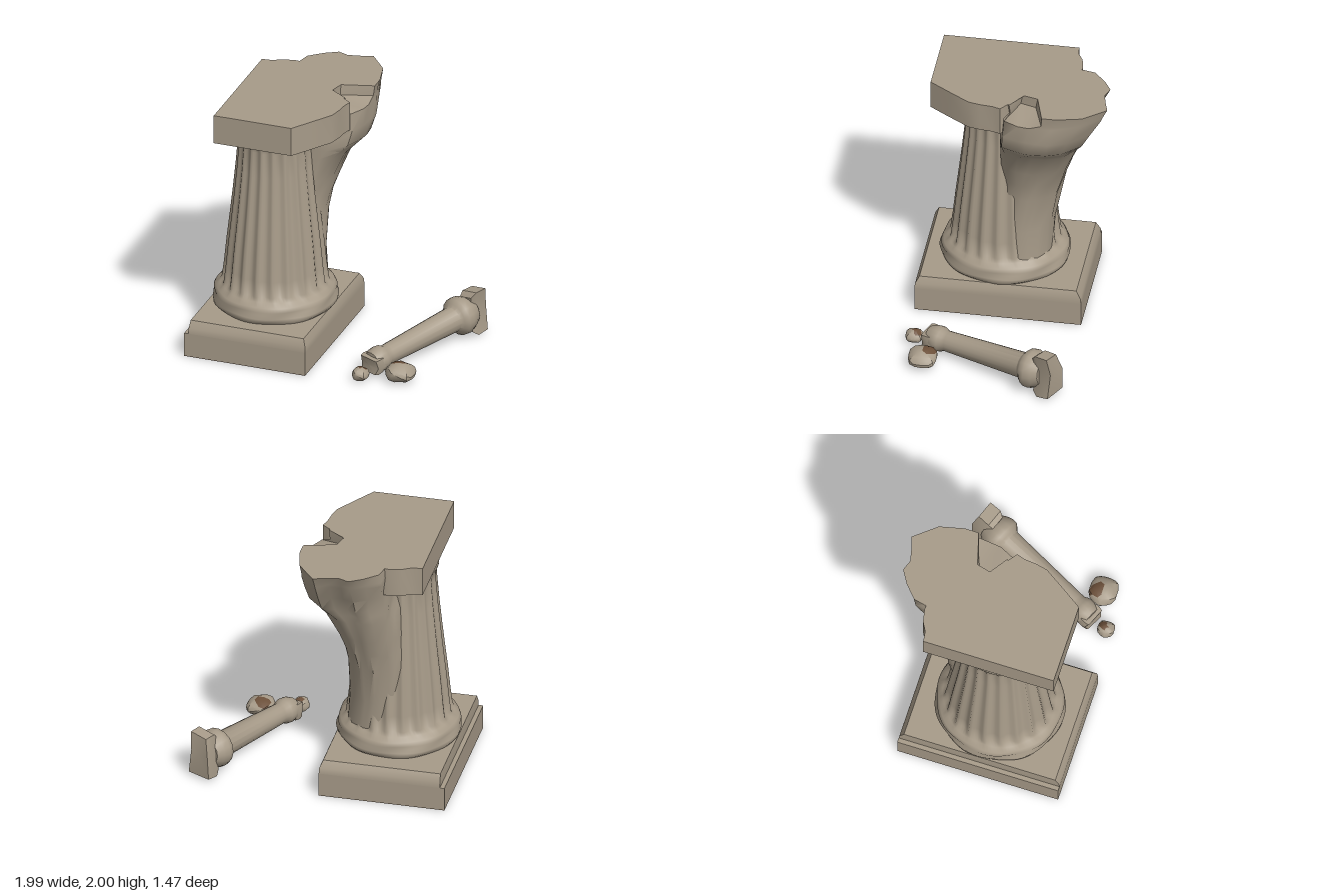
import * as THREE from 'three';
import { toCreasedNormals } from 'three/addons/utils/BufferGeometryUtils.js';

const stone = new THREE.MeshStandardMaterial({ color: 0xa79b89 });
stone.name = 'weathered stone';
const earth = new THREE.MeshStandardMaterial({ color: 0x6c503a });
earth.name = 'brown earth';

function add(parent, name, geometry, material = stone) {
  const mesh = new THREE.Mesh(geometry, material);
  mesh.name = name;
  parent.add(mesh);
  return mesh;
}

// Skin stacked rings of [x, y, z], counter-clockwise from above, with fan caps
function loft(rings, capCentre, crease = 0.7) {
  const n = rings[0].length;
  const pos = rings.flat(2);
  const index = [];
  for (let i = 0; i < rings.length - 1; i++) {
    for (let j = 0; j < n; j++) {
      const a = i * n + j, b = i * n + (j + 1) % n;
      index.push(a, b, b + n, a, b + n, a + n);
    }
  }
  for (const r of [0, rings.length - 1]) {
    const mid = pos.length / 3;
    const c = [0, 1, 2].map((k) => rings[r].reduce((s, p) => s + p[k], 0) / n);
    if (r && capCentre) [c[0], c[2]] = capCentre;
    pos.push(...c);
    for (let j = 0; j < n; j++) {
      const a = r * n + j, b = r * n + (j + 1) % n;
      if (r) index.push(mid, a, b);
      else index.push(mid, b, a);
    }
  }
  const g = new THREE.BufferGeometry();
  g.setAttribute('position', new THREE.Float32BufferAttribute(pos, 3));
  g.setIndex(index);
  return toCreasedNormals(g, crease);
}

const rect = (y, x0, x1, z0, z1) => [[x1, y, z1], [x1, y, z0], [x0, y, z0], [x0, y, z1]];
const lathe = (points, sides) =>
  new THREE.LatheGeometry(points.map(([r, y]) => new THREE.Vector2(r, y)), sides);

// Tapering shaft with scalloped grooves and worn mouldings
function flutedColumn() {
  const profile = [[0.44, 0.28], [0.465, 0.31], [0.47, 0.34], [0.455, 0.365], [0.46, 0.39], [0.445, 0.42],
    [0.41, 0.45], [0.4, 0.48], [0.385, 0.6], [0.365, 0.8], [0.342, 1], [0.32, 1.2], [0.298, 1.42],
    [0.282, 1.62], [0.278, 1.68], [0.293, 1.71], [0.298, 1.735], [0.28, 1.75], [0.285, 1.78]];
  const g = lathe(profile, 120);
  const p = g.attributes.position;
  for (let i = 0; i < p.count; i++) {
    const x = p.getX(i), y = p.getY(i), z = p.getZ(i);
    const a = Math.atan2(z, x);
    let s = 1;
    if (y > 0.47 && y < 1.65) s -= 0.072 * Math.pow(Math.abs(Math.sin(a * 10)), 1.4);
    else s += 0.012 * Math.sin(a * 7 + y * 30);
    p.setXYZ(i, x * s, y, z * s * 1.05);
  }
  return toCreasedNormals(g, 1.3);
}

// Rock mass leaning out behind the column, from a narrow foot to a broad broken top
function rockMass() {
  const top = [[0.09, 0.04], [0.14, -0.1], [0.15, -0.19], [0.155, -0.27], [0.155, -0.38], [0.11, -0.57],
    [-0.03, -0.74], [-0.13, -0.71], [-0.22, -0.69], [-0.3, -0.72], [-0.4, -0.66], [-0.5, -0.57],
    [-0.52, -0.48], [-0.52, -0.38], [-0.52, -0.2], [-0.5, 0], [-0.3, 0.1], [-0.05, 0.08]];
  const notch = [[0.02, 0], [-0.12, -0.08], [-0.09, -0.2]];
  const foot = (px, pz, w, t, cx, cz) => {
    const a = Math.atan2(-(pz + 0.22), px + 0.3) - Math.PI / 4;
    const u = t * Math.cos(a), v = w * Math.sin(a);
    return [cx + (u - v) * Math.SQRT1_2, cz - (u + v) * Math.SQRT1_2];
  };
  // y, blend in x, blend in z, chipped corner
  const levels = [[1.0, 0, 0], [1.15, 0.1, 0.1], [1.3, 0.25, 0.23], [1.5, 0.5, 0.42], [1.57, 0.72, 0.48],
    [1.63, 0.92, 0.54], [1.75, 1, 0.67], [1.89, 1, 0.87], [1.92, 1, 0.9, true], [2, 1, 1, true]];
  const rings = [[0.4, -0.36, -0.04, 0.23, 0.215], [0.7, -0.375, -0.06, 0.24, 0.2]].map(
    ([y, cx, cz, w, t]) => top.map(([x, z]) => {
      const f = foot(x, z, w, t, cx, cz);
      return [f[0], y, f[1]];
    }));
  for (const [y, kx, kz, cut] of levels) {
    rings.push(top.map(([x, z], j) => {
      const f = foot(x, z, 0.24, 0.235, -0.39, -0.09);
      const [tx, tz] = cut && j < notch.length ? notch[j] : [x, z];
      const bump = y < 1.95 ? 0.012 * Math.sin(j * 2.3 + y * 9) : 0;
      return [f[0] + (tx - f[0]) * kx - Math.abs(bump), y, f[1] + (tz - f[1]) * kz + bump];
    }));
  }
  return loft(rings, [-0.3, -0.22], 0.9);
}

// Broken slab on top of the column
function capSlab() {
  const outline = [[-0.8, 0.63], [-0.18, 0.63], [-0.08, 0.48], [0.03, 0.31], [0.05, 0.22], [0.06, 0.12],
    [0.08, 0.06], [0, 0], [-0.13, -0.05], [-0.14, -0.15], [-0.2, -0.32], [-0.48, -0.46], [-0.55, -0.47],
    [-0.65, -0.45], [-0.72, -0.41], [-0.8, -0.4]];
  const shape = new THREE.Shape(outline.map(([x, z]) => new THREE.Vector2(x, -z)));
  const g = new THREE.ExtrudeGeometry(shape, { depth: 0.23, bevelEnabled: false });
  g.rotateX(-Math.PI / 2).translate(0, 1.77, 0);
  return toCreasedNormals(g, 0.8);
}

// Small toppled column lying on the ground
function fallenColumn() {
  const group = new THREE.Group();
  group.name = 'fallenColumn';
  const start = new THREE.Vector3(0.43, 0.1, 0.53);
  const along = new THREE.Vector3(0.89, 0.185, -0.46).sub(start).normalize();
  const side = new THREE.Vector3(-along.z, 0, along.x).normalize();
  const up = new THREE.Vector3().crossVectors(side, along);
  group.quaternion.setFromRotationMatrix(new THREE.Matrix4().makeBasis(side, along, up));
  group.position.copy(start);
  add(group, 'fallenShaft', toCreasedNormals(lathe([[0, -0.01], [0.08, 0], [0.095, 0.04], [0.1, 0.08],
    [0.095, 0.11], [0.08, 0.14], [0.08, 0.17], [0.1, 0.85], [0.12, 0.87], [0.148, 0.9], [0.152, 0.94],
    [0.135, 0.99], [0.105, 1.04], [0, 1.04]], 16), 0.8));
  const foot = [[0.09, 0.05], [0.1, -0.02], [0.08, -0.075], [-0.08, -0.075], [-0.1, 0], [-0.08, 0.06]];
  const block = [[0.09, 0.185], [0.07, 0.04], [0.1, -0.17], [-0.1, -0.17], [-0.09, 0.02], [-0.05, 0.16]];
  // Irregular block across the shaft, its outline shared by every [height, scale]
  const slab = (outline, levels) => loft(levels.map(([y, s]) =>
    outline.map(([x, z], j) => [x * s, y + 0.014 * Math.sin(j * 2), z * s])));
  add(group, 'fallenBaseBlock', slab(foot, [[-0.03, 0.9], [0, 1], [0.05, 0.95]]));
  add(group, 'fallenCapitalBlock', slab(block, [[0.99, 0.8], [1.03, 1], [1.13, 0.97]]));
  return group;
}

// Loose boulder with a brown patch on the upper side
function boulder(parent, name, centre, size, patch) {
  const g = new THREE.IcosahedronGeometry(1, 2);
  const p = g.attributes.position;
  const v = new THREE.Vector3();
  for (let i = 0; i < p.count; i++) {
    v.fromBufferAttribute(p, i);
    const s = 1 + 0.08 * Math.sin(v.x * 5 + 1) * Math.cos(v.z * 4) + 0.04 * Math.sin(v.y * 4 + v.x * 3);
    p.setXYZ(i, v.x * s * size[0], Math.max(v.y * s, -0.85) * size[1], v.z * s * size[2]);
  }
  const smooth = toCreasedNormals(g, 0.5);
  smooth.clearGroups();
  const q = smooth.attributes.position;
  for (let i = 0; i < q.count; i += 3) {
    const mid = [0, 1, 2].map((k) =>
      (q.array[i * 3 + k] + q.array[i * 3 + 3 + k] + q.array[i * 3 + 6 + k]) / 3 / size[k]);
    const brown = mid[1] > 0.3 && Math.hypot(mid[0] - patch[0], mid[2] - patch[1]) < 0.5;
    smooth.addGroup(i, 3, brown ? 1 : 0);
  }
  add(parent, name, smooth, [stone, earth]).position.set(...centre);
}

export function createModel() {
  const model = new THREE.Group();
  model.name = 'ruinedColumn';

  // Plinth stepped on one side, with a brown underside
  add(model, 'plinth', loft([rect(0.004, -1, -0.03, -0.54, 0.73), rect(0.19, -1, -0.03, -0.54, 0.73),
    rect(0.191, -0.965, -0.03, -0.54, 0.73), rect(0.235, -0.965, -0.032, -0.535, 0.725),
    rect(0.29, -0.96, -0.055, -0.5, 0.695)], null, 0.75));
  add(model, 'plinthUnderside', new THREE.BoxGeometry(0.97, 0.004, 1.27), earth).position.set(-0.515, 0.002, 0.095);

  add(model, 'flutedColumn', flutedColumn()).position.set(-0.5, 0, 0.11);
  add(model, 'capSlab', capSlab());
  add(model, 'rockMass', rockMass());

  model.add(fallenColumn());
  boulder(model, 'largeBoulder', [0.67, 0.07, 0.55], [0.115, 0.075, 0.112], [-0.2, -0.4]);
  boulder(model, 'smallBoulder', [0.39, 0.058, 0.66], [0.064, 0.056, 0.068], [0.05, -0.35]);
  return model;
}
